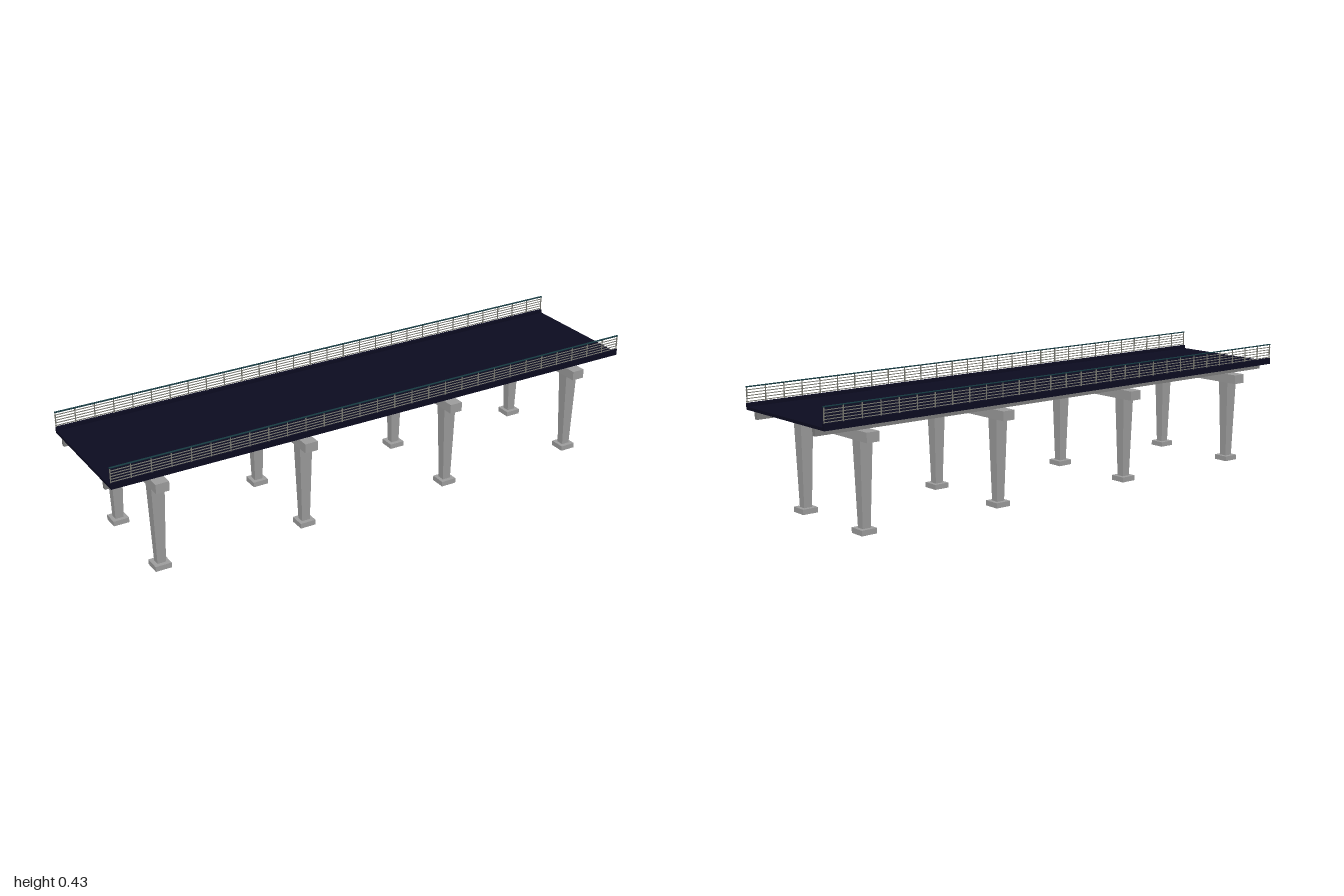
import * as THREE from 'three';

const mat = (name, color) => {
  const m = new THREE.MeshStandardMaterial({ color });
  m.name = name;
  return m;
};

export function createModel() {
  const concrete = mat('concrete', 0x9c9c9c);
  const girderGrey = mat('girderGrey', 0x7c7c7c);
  const asphalt = mat('asphalt', 0x0b0b20);
  const teal = mat('railTeal', 0x14383f);
  const steel = mat('steel', 0x77776f);

  const bridge = new THREE.Group();
  bridge.name = 'bridge';

  const add = (parent, name, geometry, material, x, y, z) => {
    const mesh = new THREE.Mesh(geometry, material);
    mesh.name = name;
    mesh.position.set(x, y, z);
    parent.add(mesh);
    return mesh;
  };
  const box = (w, h, d) => new THREE.BoxGeometry(w, h, d);

  // Deck: a shallow trough with a kerb along each edge, extruded along x
  const half = [[0.23, 0.357], [0.23, 0.379], [0.22, 0.379], [0.22, 0.367]];
  const outline = [...half, ...half.slice().reverse().map(([z, y]) => [-z, y])];
  const deckGeo = new THREE.ExtrudeGeometry(
    new THREE.Shape(outline.map(([z, y]) => new THREE.Vector2(z, y))),
    { depth: 2, bevelEnabled: false }
  );
  deckGeo.translate(0, 0, -1).rotateY(Math.PI / 2);
  add(bridge, 'deck', deckGeo, asphalt, 0, 0, 0);

  // Column that widens towards the top
  const columnGeo = box(0.03, 0.282, 0.027);
  const p = columnGeo.attributes.position;
  for (let i = 0; i < p.count; i++) {
    if (p.getY(i) > 0) {
      p.setX(i, p.getX(i) * 1.55);
      p.setZ(i, p.getZ(i) * 1.57);
    }
  }
  columnGeo.computeVertexNormals();

  // Four piers, each with a crossbeam, two columns and two footings
  for (const x of [-0.829, -0.291, 0.287, 0.825]) {
    const pier = new THREE.Group();
    pier.name = 'pier';
    pier.position.x = x;
    bridge.add(pier);
    add(pier, 'crossbeam', box(0.047, 0.033, 0.46), concrete, 0, 0.3165, 0);
    for (const s of [-1, 1]) {
      add(pier, 'column', columnGeo, concrete, 0, 0.159, s * 0.171);
      add(pier, 'footing', box(0.057, 0.018, 0.057), concrete, 0, 0.009, s * 0.171);
    }
  }

  // Girders and railings on both sides
  const postCount = 30;
  for (const s of [-1, 1]) {
    add(bridge, 'girder', box(2, 0.024, 0.015), girderGrey, 0, 0.345, s * 0.1705);

    const railing = new THREE.Group();
    railing.name = 'railing';
    railing.position.z = s * 0.227;
    bridge.add(railing);

    const handrailGeo = new THREE.CylinderGeometry(0.0045, 0.0045, 2, 8);
    handrailGeo.rotateZ(Math.PI / 2).scale(1, 0.5, 1);
    add(railing, 'handrail', handrailGeo, teal, 0, 0.4315, 0);

    for (let i = 0; i < postCount; i++) {
      const x = -0.998 + (1.996 * i) / (postCount - 1);
      add(railing, 'post', box(0.003, 0.052, 0.003), steel, x, 0.405, 0);
    }
    for (let i = 0; i < 5; i++) {
      add(railing, 'rail', box(2, 0.0025, 0.0025), steel, 0, 0.383 + i * 0.0095, s * 0.0015);
    }
  }
  return bridge;
}
